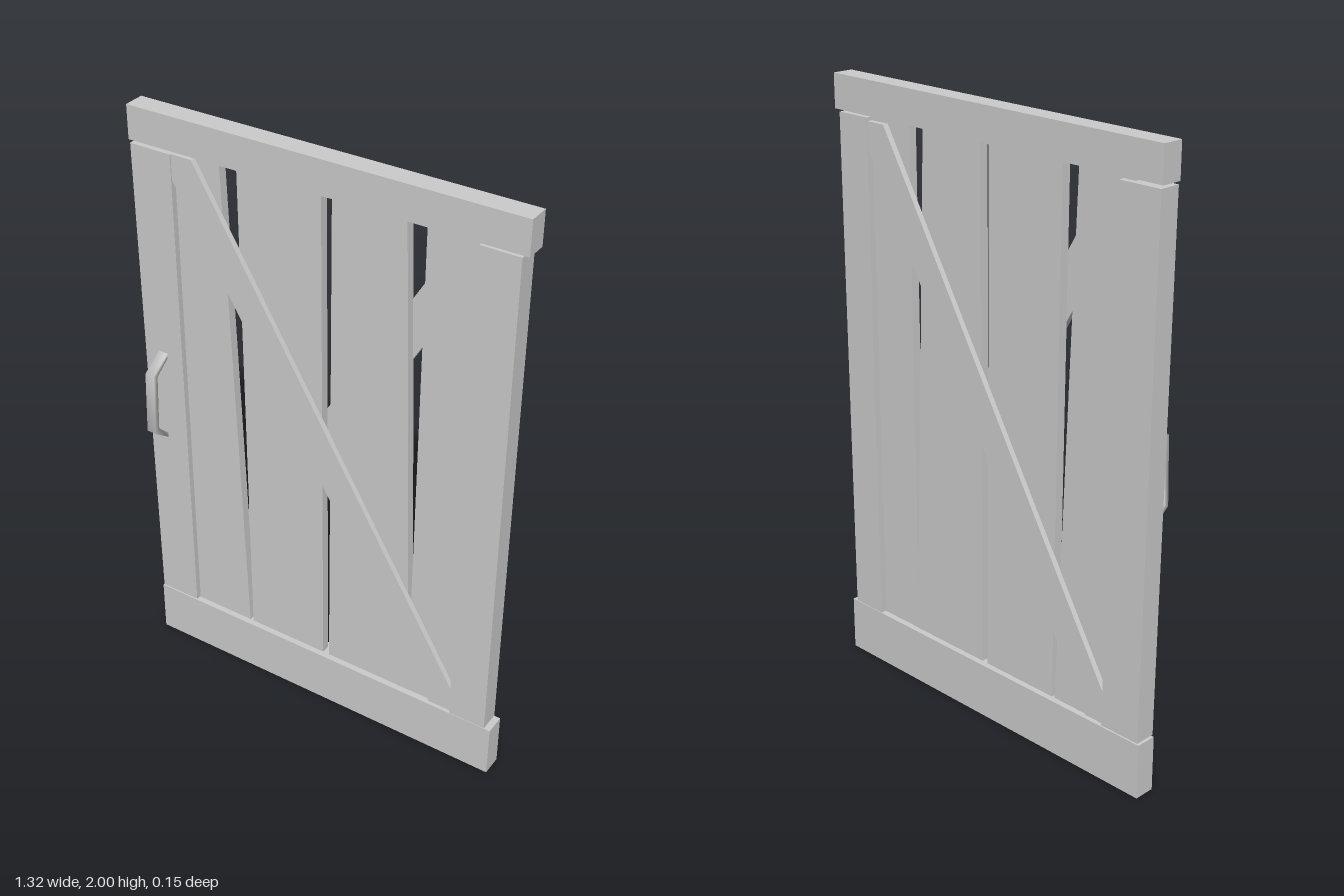
import * as THREE from 'three';
import { mergeVertices } from 'three/addons/utils/BufferGeometryUtils.js';

const FRONT = 0, BACK = -0.07;

export function createModel() {
  const door = new THREE.Group();
  door.name = 'plankDoor';
  const wood = new THREE.MeshStandardMaterial({ color: 0xcccccc, flatShading: true });
  const metal = new THREE.MeshStandardMaterial({ color: 0xcccccc });

  const outline = (pts) => new THREE.Shape(pts.map(([x, y]) => new THREE.Vector2(x, y)));

  // A board cut to an outline, filling the depth from z0 to z1
  function board(name, pts, z0, z1) {
    const geo = new THREE.ExtrudeGeometry(outline(pts), { depth: z1 - z0, bevelEnabled: false });
    geo.translate(0, 0, z0);
    const mesh = new THREE.Mesh(geo, wood);
    mesh.name = name;
    door.add(mesh);
    return mesh;
  }

  // Rails, the top one slightly askew
  board('topRail', [[-0.66, 1.88], [0.656, 1.89], [0.656, 2], [-0.66, 1.99]], BACK, FRONT);
  board('bottomRail', [[-0.645, 0], [0.656, 0], [0.656, 0.185], [-0.645, 0.185]], BACK, FRONT);

  // Stiles
  board('rightStile', [[-0.64, 0.19], [-0.497, 0.19], [-0.51, 1.87], [-0.655, 1.87]], BACK, FRONT);
  board('leftStile', [[0.508, 0.187], [0.635, 0.187], [0.635, 1.883], [0.508, 1.883]], BACK, FRONT);

  // Recessed crooked planks: [left bottom, right bottom, left top, right top]
  const planks = [
    [-0.55, -0.283, -0.55, -0.35],
    [-0.272, 0.013, -0.288, 0.0],
    [0.036, 0.346, 0.036, 0.277],
    [0.34, 0.55, 0.34, 0.55],
  ];
  planks.forEach(([lb, rb, lt, rt], i) => {
    const shift = i === 3 ? 0.001 : 0;
    board('plank' + (i + 1), [[lb, 0.15], [rb, 0.15], [rt, 1.92], [lt, 1.92]], -0.05 + shift, -0.02 - shift);
  });

  // Diagonal braces, one on each face
  const brace = [[-0.508, 1.872], [-0.435, 1.872], [0.508, 0.286], [0.508, 0.196], [0.43, 0.196], [-0.508, 1.79]];
  board('frontBrace', brace, -0.021, -0.002);
  const rear = board('backBrace', brace, -0.021, -0.002);
  rear.rotation.y = Math.PI;
  rear.position.z = BACK;

  // Bent pull handle: side profile in (z, y), extruded across its width
  const profile = [
    [0.01, -0.16], [0.075, -0.11], [0.075, 0.11], [0.003, 0.16],
    [0.003, 0.142], [0.056, 0.1], [0.056, -0.1], [0.01, -0.142],
  ];
  let grip = new THREE.ExtrudeGeometry(outline(profile), { depth: 0.033, bevelEnabled: false });
  grip.translate(0, 0, -0.0165).rotateY(-Math.PI / 2);
  grip.deleteAttribute('normal');
  grip.deleteAttribute('uv');
  grip = mergeVertices(grip);
  grip.computeVertexNormals();
  const handle = new THREE.Mesh(grip, metal);
  handle.name = 'handle';
  handle.position.set(-0.583, 1.015, 0);
  handle.rotation.z = -0.034;
  door.add(handle);

  return door;
}
